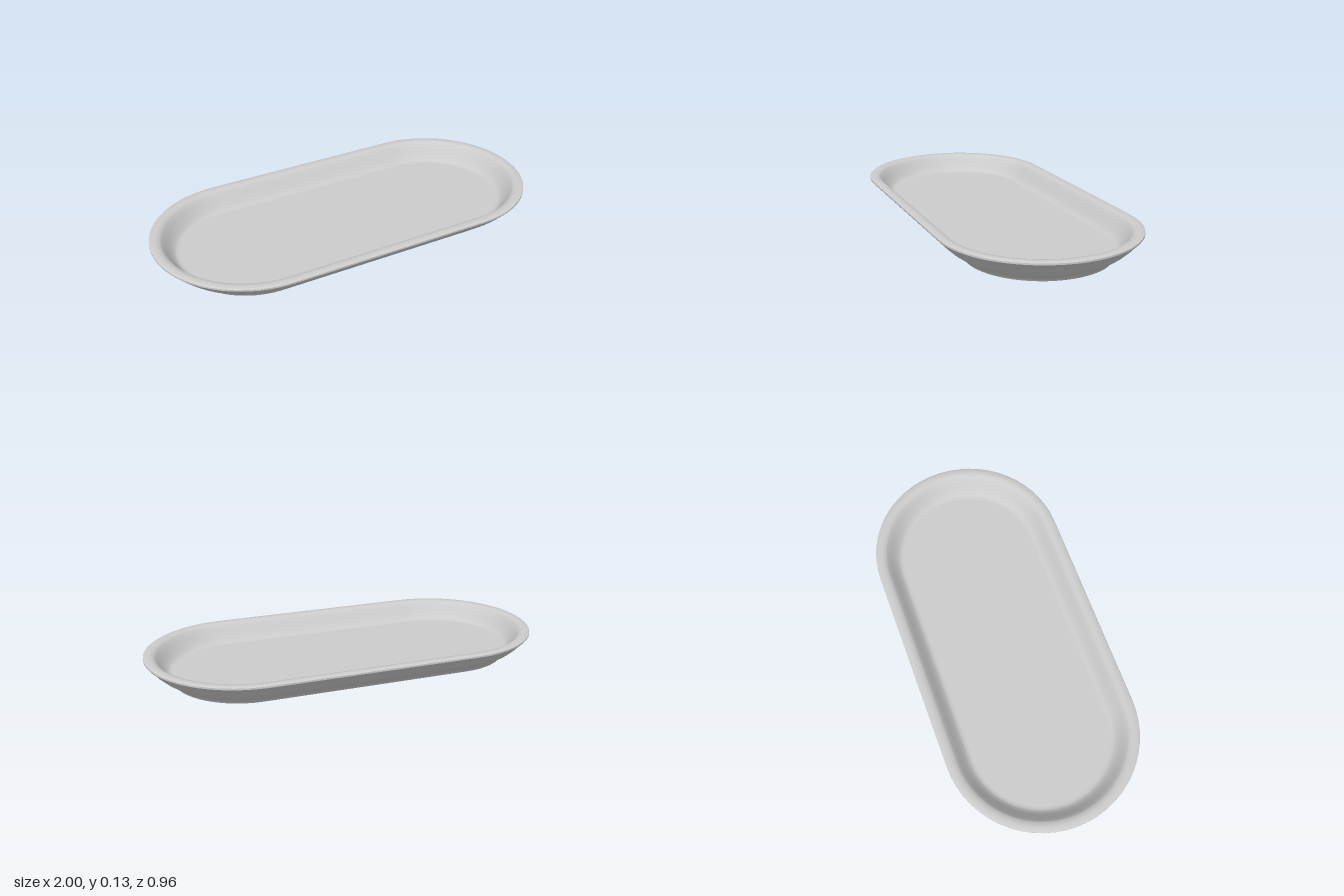
import * as THREE from 'three';
import { toCreasedNormals } from 'three/addons/utils/BufferGeometryUtils.js';

const HALF_STRAIGHT = 0.52; // centres of the round ends lie at x = +-0.52
const ARC_STEPS = 28;
const RECESS_R = 0.325, RECESS_Y = 0.015;
const FLOOR_R = 0.345, FLOOR_Y = 0.045;

// Points of a stadium outline of end radius r, counter-clockwise
function stadium(r) {
  const points = [];
  for (const side of [1, -1]) {
    for (let i = 0; i <= ARC_STEPS; i++) {
      const a = -Math.PI / 2 + (Math.PI * i) / ARC_STEPS;
      points.push(new THREE.Vector2(side * (HALF_STRAIGHT + r * Math.cos(a)), side * r * Math.sin(a)));
    }
  }
  return points;
}

// Sweeps a [radius, height] profile around the stadium
function sweep(profile) {
  const positions = [], index = [];
  const n = 2 * (ARC_STEPS + 1);
  for (const [r, y] of profile) {
    for (const p of stadium(r)) positions.push(p.x, y, p.y);
  }
  for (let i = 0; i < profile.length - 1; i++) {
    for (let j = 0; j < n; j++) {
      const a = i * n + j, b = i * n + ((j + 1) % n);
      index.push(a, a + n, b, b, a + n, b + n);
    }
  }
  const geometry = new THREE.BufferGeometry();
  geometry.setAttribute('position', new THREE.Float32BufferAttribute(positions, 3));
  geometry.setIndex(index);
  return toCreasedNormals(geometry, 0.6);
}

// Inward-facing box, open at the bottom
function pocketGeometry(w, h, d) {
  const geometry = new THREE.BoxGeometry(w, h, d);
  const index = Array.from(geometry.index.array);
  index.splice(18, 6);
  geometry.setIndex(index);
  geometry.scale(-1, 1, 1);
  geometry.computeVertexNormals();
  return geometry;
}

export function createModel() {
  const group = new THREE.Group();
  const material = new THREE.MeshStandardMaterial({ color: 0xcccccc });
  const add = (name, geometry) => {
    const mesh = new THREE.Mesh(geometry, material);
    mesh.name = name;
    group.add(mesh);
    return mesh;
  };

  // Wall: recess edge, foot, flared outside, rolled rim, sloping inside
  add('trayWall', sweep([
    [RECESS_R, RECESS_Y], [0.33, 0], [0.345, 0], [0.352, 0.012],
    [0.38, 0.032], [0.415, 0.057], [0.442, 0.082], [0.459, 0.108],
    [0.473, 0.114], [0.48, 0.122], [0.48, 0.13], [0.474, 0.134],
    [0.45, 0.134], [0.432, 0.131], [0.422, 0.122], [0.405, 0.098],
    [0.385, 0.07], [0.368, 0.052], [0.358, 0.046], [FLOOR_R, FLOOR_Y],
  ]));

  // Flat inside floor
  const floor = new THREE.ShapeGeometry(new THREE.Shape(stadium(FLOOR_R)));
  floor.rotateX(-Math.PI / 2).translate(0, FLOOR_Y, 0);
  add('trayFloor', floor);

  // Recessed underside with two slots along the middle
  const slot = { x: 0.36, w: 0.32, d: 0.06, h: 0.02 };
  const shape = new THREE.Shape(stadium(RECESS_R));
  for (const side of [-1, 1]) {
    const x0 = side * slot.x - slot.w / 2, x1 = x0 + slot.w, z = slot.d / 2;
    shape.holes.push(new THREE.Path([
      new THREE.Vector2(x0, -z), new THREE.Vector2(x0, z),
      new THREE.Vector2(x1, z), new THREE.Vector2(x1, -z),
    ]));
    add(side > 0 ? 'leftSlot' : 'rightSlot', pocketGeometry(slot.w, slot.h, slot.d))
      .position.set(side * slot.x, RECESS_Y + slot.h / 2, 0);
  }
  const underside = new THREE.ShapeGeometry(shape);
  underside.rotateX(Math.PI / 2).translate(0, RECESS_Y, 0);
  add('underside', underside);

  return group;
}
